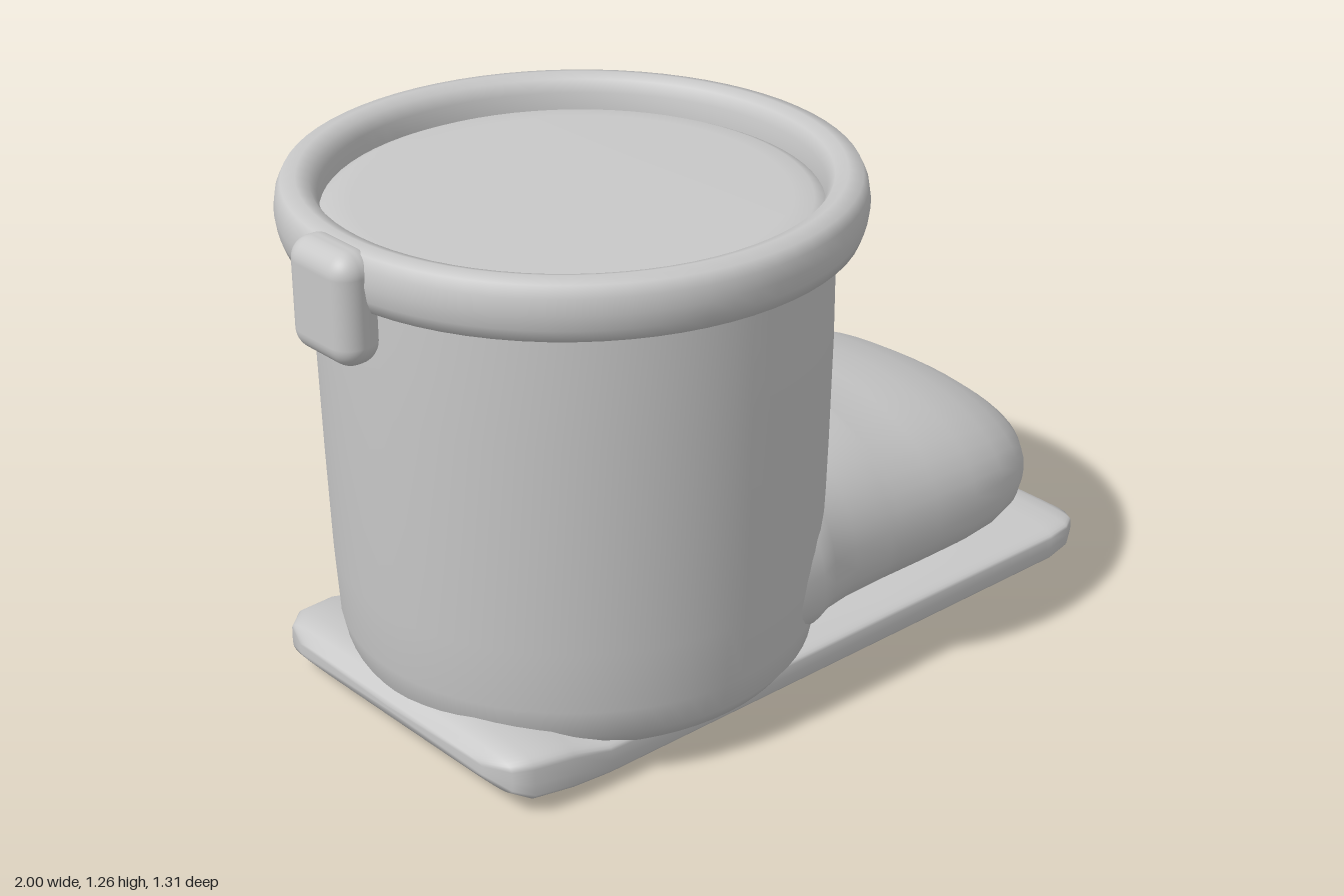
import * as THREE from 'three';
import { RoundedBoxGeometry } from 'three/addons/geometries/RoundedBoxGeometry.js';

const SHAFT_X = -0.3;

// Skin rounded cross-sections [x, halfWidth, bottom, middle, top] along x.
function loft(stations, power, segments = 48) {
  const pos = [], index = [];
  const bend = (v) => Math.sign(v) * Math.abs(v) ** power;
  for (const [x, w, bottom, mid, top] of stations) {
    for (let j = 0; j < segments; j++) {
      const a = (j / segments) * Math.PI * 2;
      const s = bend(Math.sin(a));
      pos.push(x, mid + s * (s > 0 ? top - mid : mid - bottom), w * bend(Math.cos(a)));
    }
  }
  for (let i = 0; i < stations.length - 1; i++) {
    for (let j = 0; j < segments; j++) {
      const k = (j + 1) % segments;
      const a = i * segments + j, b = a + segments;
      const c = i * segments + k, d = c + segments;
      index.push(a, b, c, b, d, c);
    }
  }
  const geo = new THREE.BufferGeometry();
  geo.setAttribute('position', new THREE.Float32BufferAttribute(pos, 3));
  geo.setIndex(index);
  geo.computeVertexNormals();
  return geo;
}

const lathe = (points) =>
  new THREE.LatheGeometry(points.map(([r, y]) => new THREE.Vector2(r, y)), 72);

export function createModel() {
  const group = new THREE.Group();
  const clay = new THREE.MeshStandardMaterial({ color: 0xc8c8c8 });
  clay.name = 'pale grey';

  function add(name, geometry, x = 0, y = 0, z = 0) {
    const mesh = new THREE.Mesh(geometry, clay);
    mesh.name = name;
    mesh.position.set(x, y, z);
    group.add(mesh);
    return mesh;
  }

  // Shaft with rounded heel edge and closed top
  add('shaft', lathe([
    [0, 0.065], [0.36, 0.066], [0.46, 0.072], [0.515, 0.09], [0.545, 0.13],
    [0.56, 0.2], [0.568, 0.35], [0.575, 0.6], [0.58, 0.85], [0.58, 1.1],
    [0.575, 1.15], [0.56, 1.175], [0.53, 1.188], [0.48, 1.19], [0, 1.19],
  ]), SHAFT_X);

  // Rolled cuff around the opening
  add('cuff', lathe([
    [0.56, 1.126], [0.605, 1.125], [0.638, 1.127], [0.648, 1.155], [0.653, 1.19],
    [0.648, 1.225], [0.636, 1.25], [0.603, 1.258], [0.574, 1.248],
    [0.558, 1.22], [0.555, 1.17],
  ]), SHAFT_X);

  // Bulbous toe, flaring where it blends into the shaft
  add('toe', loft([
    [-0.2, 0.52, 0.08, 0.27, 0.6],
    [0.0, 0.515, 0.08, 0.27, 0.6],
    [0.06, 0.49, 0.08, 0.27, 0.6],
    [0.14, 0.478, 0.08, 0.27, 0.6],
    [0.26, 0.475, 0.08, 0.27, 0.6],
    [0.29, 0.475, 0.08, 0.27, 0.578],
    [0.42, 0.478, 0.08, 0.27, 0.565],
    [0.55, 0.478, 0.08, 0.27, 0.542],
    [0.66, 0.465, 0.08, 0.27, 0.51],
    [0.75, 0.435, 0.085, 0.268, 0.472],
    [0.82, 0.39, 0.095, 0.266, 0.43],
    [0.88, 0.325, 0.12, 0.264, 0.385],
    [0.92, 0.25, 0.15, 0.262, 0.345],
    [0.945, 0.16, 0.19, 0.26, 0.307],
    [0.955, 0.08, 0.225, 0.26, 0.28],
    [0.957, 0, 0.258, 0.26, 0.262],
  ], 0.88), 0, 0, 0);

  // Flat sole, a little thicker under the heel
  add('sole', loft([
    [-0.868, 0, 0.095, 0.1, 0.105],
    [-0.866, 0.34, 0.08, 0.1, 0.12],
    [-0.84, 0.41, 0.05, 0.09, 0.14],
    [-0.8, 0.44, 0.028, 0.085, 0.155],
    [-0.7, 0.455, 0.02, 0.075, 0.148],
    [-0.6, 0.46, 0.018, 0.065, 0.115],
    [-0.3, 0.46, 0.016, 0.06, 0.105],
    [0.3, 0.465, 0.013, 0.06, 0.108],
    [0.85, 0.472, 0.014, 0.06, 0.108],
    [0.92, 0.462, 0.02, 0.065, 0.104],
    [0.965, 0.435, 0.04, 0.07, 0.095],
    [0.995, 0.39, 0.065, 0.072, 0.08],
    [0.998, 0, 0.07, 0.072, 0.074],
  ], 0.32));

  // Shallow bump under the sole
  add('soleBump', new THREE.SphereGeometry(0.1, 24, 12), 0.57, 0.016, 0).scale.set(1, 0.16, 0.9);

  // Pull tab at the back of the cuff
  add('pullTab', new RoundedBoxGeometry(0.11, 0.255, 0.21, 5, 0.05), -0.945, 1.13, 0);

  return group;
}
